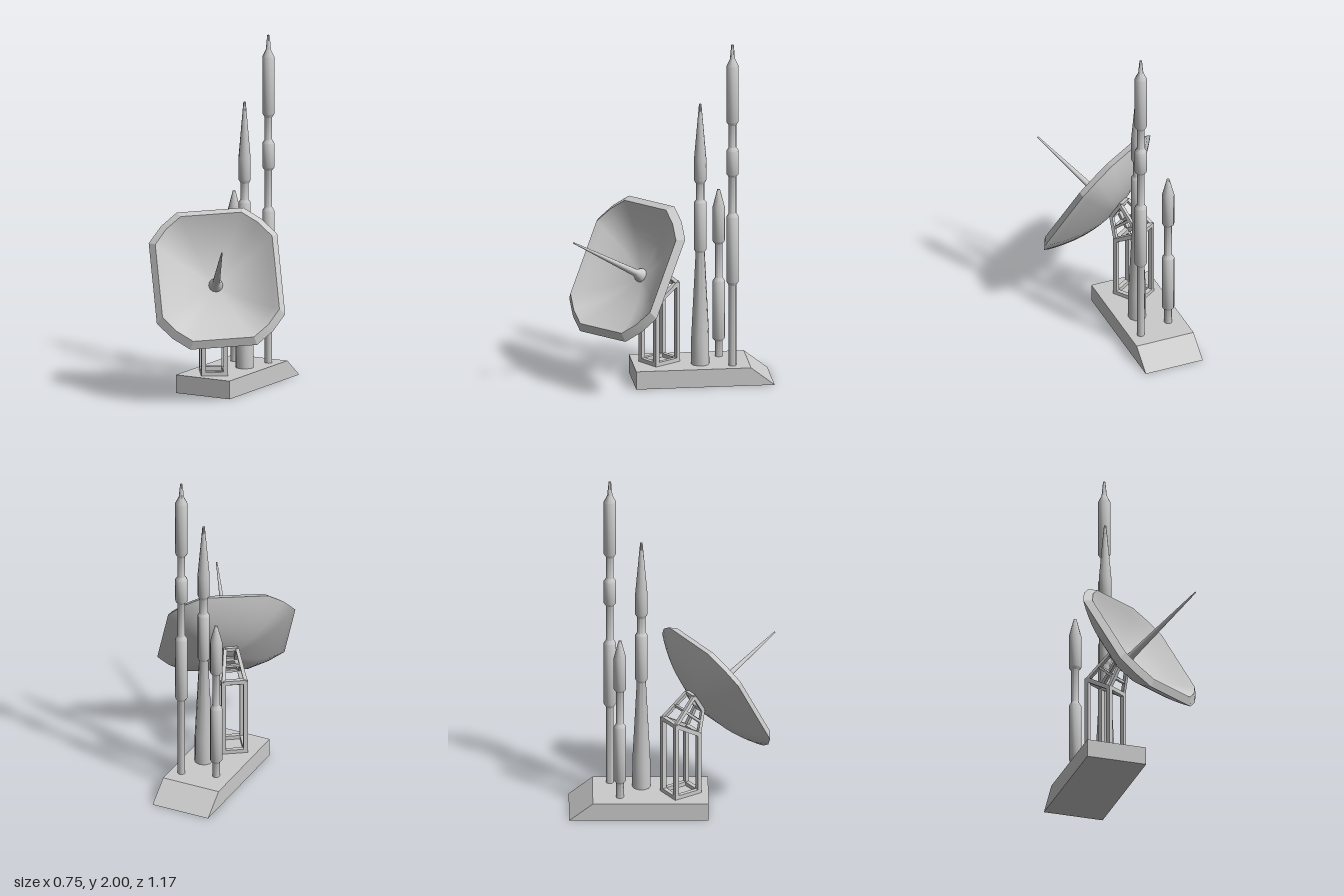
import * as THREE from 'three';
import { toCreasedNormals } from 'three/addons/utils/BufferGeometryUtils.js';

const material = new THREE.MeshStandardMaterial({ color: 0xcccccc });
const rad = THREE.MathUtils.degToRad;

function addMesh(parent, geometry, name) {
  const mesh = new THREE.Mesh(geometry, material);
  mesh.name = name;
  parent.add(mesh);
  return mesh;
}

// Turned mast from [radius, height] pairs
function mast(points, segments = 10) {
  const profile = points.map(([r, y]) => new THREE.Vector2(r, y));
  return toCreasedNormals(new THREE.LatheGeometry(profile, segments), rad(40));
}

// Square bar between two points
function bar(parent, a, b, width, name) {
  const from = new THREE.Vector3(...a), to = new THREE.Vector3(...b);
  const dir = to.clone().sub(from);
  const mesh = addMesh(parent, new THREE.BoxGeometry(width, dir.length(), width), name);
  mesh.position.copy(from).add(to).multiplyScalar(0.5);
  mesh.quaternion.setFromUnitVectors(new THREE.Vector3(0, 1, 0), dir.normalize());
}

// Rectangular dish outline with cut, slightly bulging corners, counter-clockwise
const corner = [[0.366, 0.24], [0.287, 0.336], [0.19, 0.41]];
const flipped = [...corner].reverse();
const outline = [
  ...corner,
  ...flipped.map(([x, y]) => [-x, y]),
  ...corner.map(([x, y]) => [-x, -y]),
  ...flipped.map(([x, y]) => [x, -y]),
];

// Skin over scaled copies of the outline, each given as [scale, z]
function loft(rings) {
  const n = outline.length, positions = [], index = [];
  for (const [s, z] of rings) for (const [x, y] of outline) positions.push(x * s, y * s, z);
  for (let i = 0; i < rings.length - 1; i++) {
    for (let j = 0; j < n; j++) {
      const a = i * n + j, b = i * n + (j + 1) % n;
      index.push(a, b, a + n, b, b + n, a + n);
    }
  }
  const geometry = new THREE.BufferGeometry();
  geometry.setAttribute('position', new THREE.Float32BufferAttribute(positions, 3));
  geometry.setIndex(index);
  geometry.computeVertexNormals();
  return geometry;
}

function bowlRings(scale, rimZ, bottomZ, steps = 10) {
  return Array.from({ length: steps + 1 }, (_, i) => {
    const t = i / steps;
    return [scale * t, bottomZ + (rimZ - bottomZ) * t * t];
  });
}

function createDish() {
  const dish = new THREE.Group();
  dish.name = 'dish';
  addMesh(dish, loft(bowlRings(1, 0, -0.145)), 'dishBack');
  addMesh(dish, toCreasedNormals(loft([[1, 0], [0.91, 0.035]]), rad(10)), 'dishRim');
  addMesh(dish, loft(bowlRings(0.91, 0.035, -0.12).reverse()), 'dishBowl');
  // Feed spike with a flared foot
  const spike = mast([[0.042, -0.125], [0.038, -0.105], [0.026, -0.085], [0.021, -0.06],
    [0.004, 0.465], [0, 0.465]], 12);
  spike.rotateX(Math.PI / 2);
  addMesh(dish, spike, 'feedSpike');
  dish.rotation.set(rad(-30), rad(34), rad(3.5), 'YXZ');
  dish.position.set(0, 0.7, 0.25);
  return dish;
}

function createSupport() {
  const support = new THREE.Group();
  support.name = 'dishSupport';
  const w = 0.025, hx = 0.063, hz = 0.078;
  const topY = (z) => 0.52 - z * 0.6;
  const corners = [[hx, hz], [-hx, hz], [-hx, -hz], [hx, -hz]];
  // Narrow end of the neck, buried in the back of the dish
  const neck = corners.map(([x, z]) => [x * 0.55, z > 0 ? 0.6 : 0.7, z > 0 ? 0.125 : 0.065]);
  corners.forEach(([x, z], i) => {
    const k = (i + 1) % 4, [x2, z2] = corners[k];
    const top = [x, topY(z), z], top2 = [x2, topY(z2), z2];
    bar(support, [x, 0.09, z], [x, topY(z) + 0.006, z], w, 'leg');
    bar(support, [x, 0.115, z], [x2, 0.115, z2], w, 'bottomRail');
    bar(support, top, top2, w, 'topRail');
    bar(support, top, neck[i], w * 0.8, 'neckStrut');
    const mid = (p, q) => p.map((v, m) => v + (q[m] - v) * 0.5);
    bar(support, mid(top, neck[i]), mid(top2, neck[k]), w * 0.6, 'neckRung');
    bar(support, neck[i], neck[k], w * 0.8, 'neckEnd');
  });
  support.position.set(-0.138, 0, 0.05);
  support.rotation.y = rad(34);
  return support;
}

export function createModel() {
  const model = new THREE.Group();
  model.name = 'antennaStation';

  // Plinth with a sloping rear end
  const side = new THREE.Shape([[-0.205, 0], [0.585, 0], [0.45, 0.105], [-0.205, 0.105]]
    .map(([x, y]) => new THREE.Vector2(x, y)));
  const plinth = new THREE.ExtrudeGeometry(side, { depth: 0.35, bevelEnabled: false });
  plinth.rotateY(Math.PI / 2);
  plinth.translate(-0.295, 0, 0);
  addMesh(model, plinth, 'base');

  // Masts
  addMesh(model, mast([[0.022, 0.09], [0.022, 0.58], [0.035, 0.6], [0.035, 0.985], [0.022, 1.005],
    [0.022, 1.22], [0.035, 1.235], [0.035, 1.375], [0.022, 1.395], [0.022, 1.525], [0.035, 1.545],
    [0.035, 1.875], [0.015, 1.915], [0.007, 2], [0, 2]]), 'tallMast').position.set(-0.012, 0, -0.352);
  addMesh(model, mast([[0.052, 0.09], [0.051, 0.27], [0.026, 0.765], [0.035, 0.78], [0.035, 1.06],
    [0.024, 1.075], [0.024, 1.17], [0.035, 1.19], [0.035, 1.32], [0.007, 1.64], [0, 1.64]]),
    'middleMast').position.set(-0.065, 0, -0.174);
  addMesh(model, mast([[0.022, 0.09], [0.022, 0.195], [0.035, 0.21], [0.035, 0.55], [0.022, 0.57],
    [0.022, 0.77], [0.035, 0.785], [0.035, 0.985], [0.008, 1.09], [0, 1.09]]),
    'shortMast').position.set(-0.204, 0, -0.296);

  model.add(createSupport(), createDish());
  return model;
}
